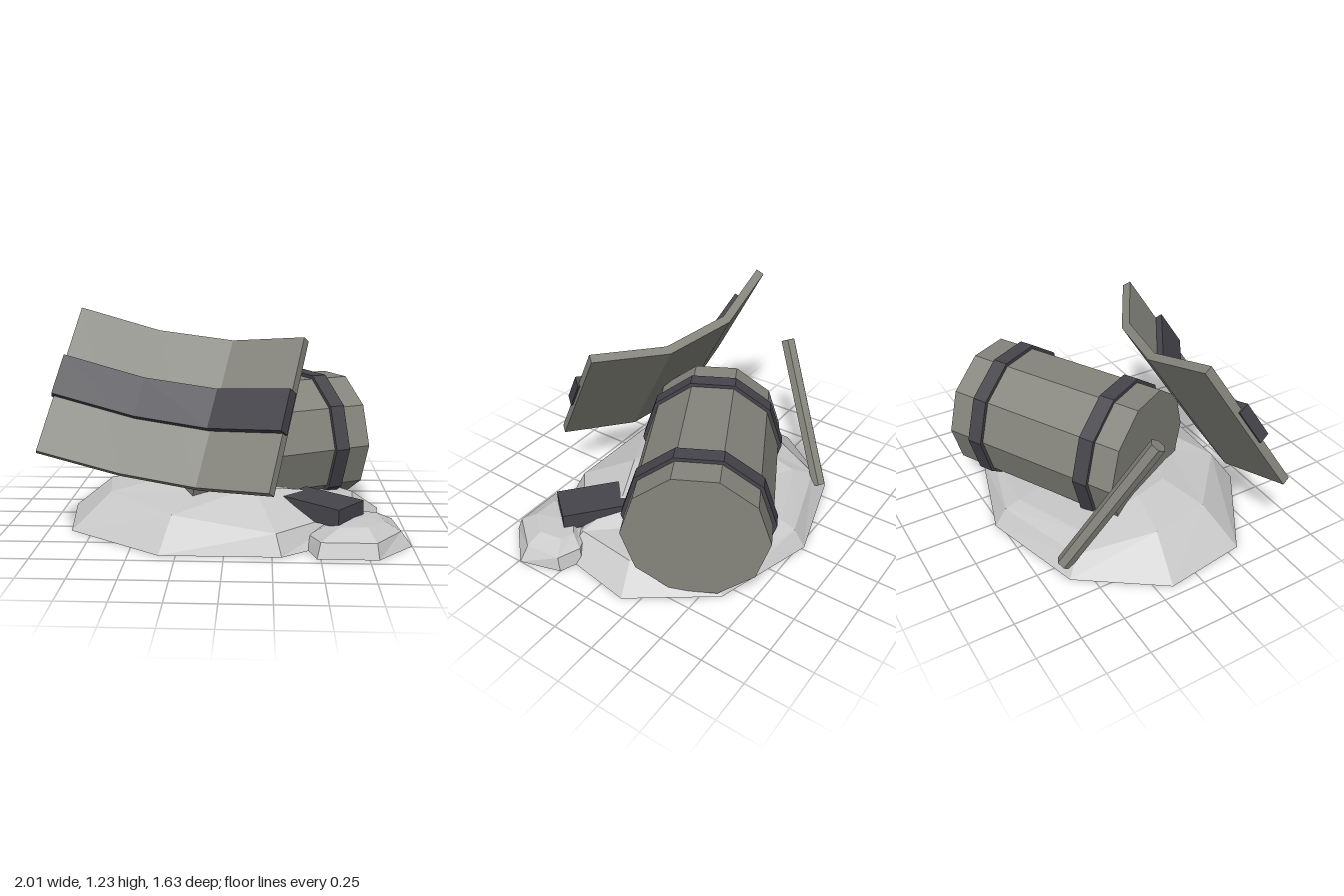
import * as THREE from 'three';

const mat = (name, color, side = THREE.FrontSide) => {
  const m = new THREE.MeshStandardMaterial({ color, flatShading: true, side });
  m.name = name;
  return m;
};

function add(parent, name, geometry, material) {
  const mesh = new THREE.Mesh(geometry, material);
  mesh.name = name;
  parent.add(mesh);
  return mesh;
}

// Open faceted shell: rings of [x, y, z] from the ground up, closed by a top point
function shell(rings, top) {
  const pos = [];
  const n = rings[0].length;
  for (let i = 0; i < n; i++) {
    const j = (i + 1) % n;
    for (let k = 0; k < rings.length - 1; k++) {
      const lo = rings[k], hi = rings[k + 1];
      pos.push(...lo[j], ...lo[i], ...hi[i], ...lo[j], ...hi[i], ...hi[j]);
    }
    const last = rings[rings.length - 1];
    pos.push(...last[j], ...last[i], ...top);
  }
  const g = new THREE.BufferGeometry();
  g.setAttribute('position', new THREE.Float32BufferAttribute(pos, 3));
  g.computeVertexNormals();
  return g;
}

// Bent strip along the lid profile, between two offsets, stretched past the ends
function lidStrip(outer, inner, extend, start, depth) {
  const profile = [[0, 0], [0.42, -0.165], [0.854, -0.165], [1.274, 0]];
  const normals = [[0.365, 0.93], [0.19, 1], [-0.19, 1], [-0.365, 0.93]];
  const ends = [[-0.93, 0.365], [0, 0], [0, 0], [0.93, 0.365]];
  const line = (d) => profile.map((p, i) => new THREE.Vector2(
    p[0] + normals[i][0] * d + ends[i][0] * extend,
    p[1] + normals[i][1] * d + ends[i][1] * extend));
  const shape = new THREE.Shape([...line(inner), ...line(outer).reverse()]);
  const g = new THREE.ExtrudeGeometry(shape, { depth, bevelEnabled: false });
  return g.translate(0, 0, start);
}

export function createModel() {
  const model = new THREE.Group();
  model.name = 'barrelOnRocks';
  const wood = mat('weathered wood', 0x85857d);
  const iron = mat('dark iron', 0x46454b);
  const stone = mat('pale stone', 0xc8c8c8, THREE.DoubleSide);

  // Large mound, sagging under the barrel
  add(model, 'largeMound', shell([
    [[-0.94, 0, -0.16], [-0.62, 0, -0.61], [-0.02, 0, -0.78], [0.58, 0, -0.6], [0.9, 0, -0.16],
      [0.82, 0, 0.32], [0.3, 0, 0.68], [-0.34, 0, 0.68], [-0.87, 0, 0.32]],
    [[-0.71, 0.19, -0.12], [-0.56, 0.1, -0.54], [-0.02, 0.1, -0.71], [0.52, 0.07, -0.55], [0.74, 0.12, -0.1],
      [0.7, 0.12, 0.27], [0.27, 0.11, 0.63], [-0.28, 0.18, 0.56], [-0.66, 0.2, 0.22]],
    [[-0.45, 0.24, -0.08], [-0.46, 0.15, -0.45], [-0.02, 0.13, -0.62], [0.4, 0.1, -0.4], [0.45, 0.14, -0.05],
      [0.42, 0.22, 0.2], [0.15, 0.27, 0.32], [-0.15, 0.23, 0.32], [-0.4, 0.25, 0.12]],
  ], [0.1, 0.15, -0.15]), stone);

  // Small rock at the front
  add(model, 'smallRock', shell([
    [[0.42, 0, 0.5], [0.52, 0, 0.3], [0.8, 0, 0.2], [0.93, 0, 0.25], [1, 0, 0.49], [0.8, 0, 0.7], [0.48, 0, 0.7]],
    [[0.45, 0.06, 0.5], [0.55, 0.08, 0.33], [0.79, 0.08, 0.22], [0.92, 0.08, 0.27], [0.94, 0.08, 0.48],
      [0.79, 0.08, 0.67], [0.5, 0.08, 0.67]],
    [[0.58, 0.13, 0.48], [0.62, 0.14, 0.4], [0.75, 0.13, 0.3], [0.83, 0.13, 0.32], [0.85, 0.13, 0.46],
      [0.75, 0.135, 0.58], [0.6, 0.13, 0.58]],
  ], [0.71, 0.14, 0.45]), stone);

  // Ten-sided barrel lying on its side, with two hoops
  const barrel = new THREE.Group();
  barrel.name = 'barrel';
  barrel.position.set(0.154, 0.4, -0.209);
  barrel.rotation.y = 0.485;
  const drum = (r, len) => new THREE.CylinderGeometry(r, r, len, 10).rotateZ(-Math.PI / 2);
  add(barrel, 'barrelBody', drum(0.397, 1.12), wood);
  for (const x of [-0.365, 0.365]) add(barrel, 'barrelHoop', drum(0.419, 0.09), iron).position.x = x;
  model.add(barrel);

  // Tilted bent lid with a raised strap on its face
  const lid = new THREE.Group();
  lid.name = 'bentLid';
  const down = new THREE.Vector3(-0.18, -0.72, 0.43).normalize();
  const across = new THREE.Vector3(1.23, -0.13, 0.305);
  const out = new THREE.Vector3().crossVectors(down, across).normalize();
  across.crossVectors(out, down);
  const basis = new THREE.Matrix4().makeBasis(across, out, down).setPosition(-0.82, 1.23, 0.08);
  lid.applyMatrix4(basis);
  add(lid, 'lidPanel', lidStrip(0, -0.05, 0, 0, 0.858), wood);
  add(lid, 'lidStrap', lidStrip(0.04, -0.025, 0.012, 0.31, 0.23), iron);
  model.add(lid);

  // Six-sided stick leaning behind the lid
  const foot = new THREE.Vector3(-0.535, 0.05, -0.6);
  const tip = new THREE.Vector3(-0.785, 0.84, -0.185);
  const dir = tip.clone().sub(foot);
  const stick = add(model, 'stick', new THREE.CylinderGeometry(0.045, 0.045, dir.length(), 6), wood);
  stick.position.copy(foot).add(tip).multiplyScalar(0.5);
  stick.quaternion.setFromUnitVectors(new THREE.Vector3(0, 1, 0), dir.normalize());

  // Dark block resting between the rocks
  const block = add(model, 'darkBlock', new THREE.BoxGeometry(0.39, 0.1, 0.235), iron);
  block.position.set(0.525, 0.165, 0.335);
  block.rotation.y = -0.694;

  return model;
}
